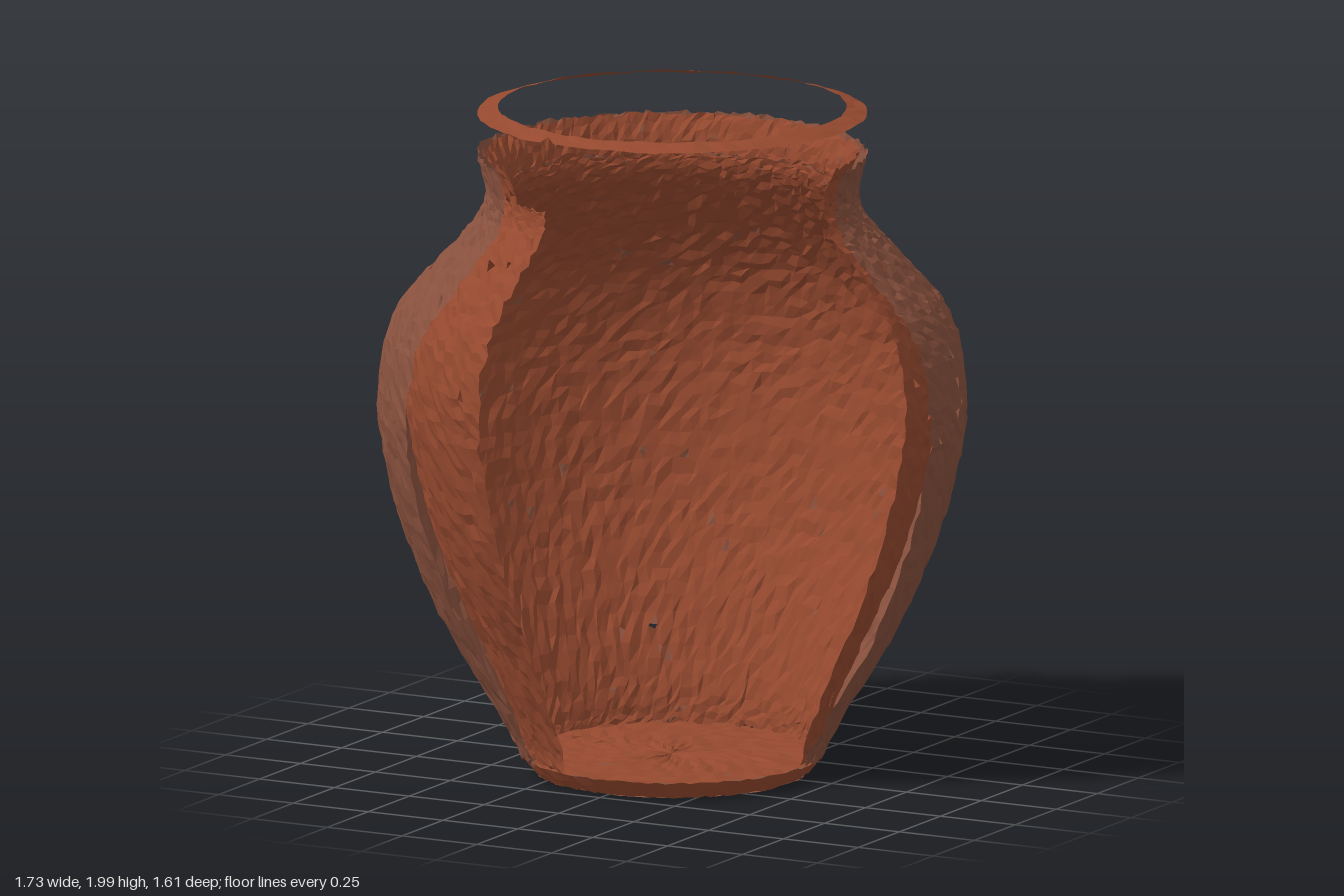
import * as THREE from 'three';

const AXIS_Z = 0.06; // the pot's axis sits slightly forward of the centre
const rad = THREE.MathUtils.degToRad;

// repeatable value in -1..1 from a position, the same on both sides of a seam
function hash(x, y, z, k) {
  const q = (v) => Math.round(v * 1000);
  const s = Math.sin(q(x) * 0.129898 + q(y) * 0.78233 + q(z) * 0.37719 + k * 4.17) * 43758.5453;
  return (s - Math.floor(s)) * 2 - 1;
}

// revolve a profile through an arc, then roughen it and drop a few tiny flakes
function roughLathe(name, points, color, { start = 0, sweep = 360, segments = 110, rough = 0.005, flakes = 0.006 } = {}) {
  const geometry = new THREE.LatheGeometry(points, segments, rad(start), rad(sweep));
  const p = geometry.attributes.position;
  for (let i = 0; i < p.count; i++) {
    const [x, y, z] = [p.getX(i), p.getY(i), p.getZ(i)];
    const r = Math.hypot(x, z);
    if (r < 0.01) continue;
    const radius = r + hash(x, y, z, 1) * rough;
    const angle = Math.atan2(x, z) + hash(x, y, z, 2) * rough * 2 / Math.max(r, 0.2);
    p.setXYZ(i, radius * Math.sin(angle), Math.max(0, y + hash(x, y, z, 3) * rough * 1.6), radius * Math.cos(angle));
  }
  const kept = [];
  const index = geometry.index.array;
  for (let i = 0; i < index.length; i += 3) {
    if (hash(i, i * 0.37, i * 0.11, 4) < 1 - 2 * flakes) kept.push(index[i], index[i + 1], index[i + 2]);
  }
  geometry.setIndex(kept);
  geometry.computeVertexNormals();
  const material = new THREE.MeshStandardMaterial({ color, roughness: 0.9, flatShading: true, side: THREE.DoubleSide });
  const mesh = new THREE.Mesh(geometry, material);
  mesh.name = name;
  mesh.position.z = AXIS_Z;
  return mesh;
}

const points = (list) => list.map(([r, y]) => new THREE.Vector2(r, y));
const smooth = (list, n) => new THREE.SplineCurve(points(list)).getPoints(n).map((v) => v.clone());

// flat disc made of rings, so that it can be roughened too
function disc(radius, y, rings = 11) {
  return Array.from({ length: rings + 1 }, (_, i) => new THREE.Vector2((radius * i) / rings, y));
}

export function createModel() {
  const group = new THREE.Group();
  group.name = 'brokenPot';
  const clay = 0x87503d;
  const redClay = 0x95492f;

  // outer skin, broken away from the front to the left side
  const outer = smooth([
    [0.44, 0.06], [0.50, 0.18], [0.64, 0.41], [0.74, 0.62], [0.81, 0.82], [0.855, 1.02], [0.862, 1.15],
    [0.84, 1.3], [0.79, 1.41], [0.71, 1.5], [0.62, 1.6], [0.56, 1.68], [0.545, 1.75], [0.57, 1.86],
  ], 64);
  group.add(roughLathe('outerWall', outer, clay, { start: 90, sweep: 234 }));

  // inner skin, reaching further round the front
  const inner = smooth([
    [0.425, 0.06], [0.46, 0.18], [0.56, 0.41], [0.655, 0.62], [0.72, 0.82], [0.765, 1.02], [0.78, 1.18],
    [0.755, 1.34], [0.69, 1.47], [0.60, 1.59], [0.52, 1.69], [0.505, 1.75],
  ], 60);
  group.add(roughLathe('innerWall', inner, redClay, { start: 90, sweep: 252 }));

  // lining of the neck
  const lining = smooth([[0.505, 1.75], [0.515, 1.8], [0.545, 1.86]], 5);
  group.add(roughLathe('neckLining', lining, redClay, { start: 90, sweep: 234 }));

  // complete foot: underside, low wall and inner floor
  group.add(roughLathe('underside', disc(0.4, 0.012), clay, { segments: 60, rough: 0.002 }));
  group.add(roughLathe('footWall', points([[0.4, 0.012], [0.42, 0.036], [0.44, 0.062]]), redClay, { rough: 0.002 }));
  group.add(roughLathe('floor', disc(0.43, 0.06), redClay, { segments: 60, rough: 0.003 }));

  // loose lip floating above the neck
  const lip = points([[0.572, 1.978], [0.54, 1.988], [0.51, 1.997]]);
  group.add(roughLathe('lip', lip, redClay, { segments: 80, rough: 0.002 }));

  return group;
}
